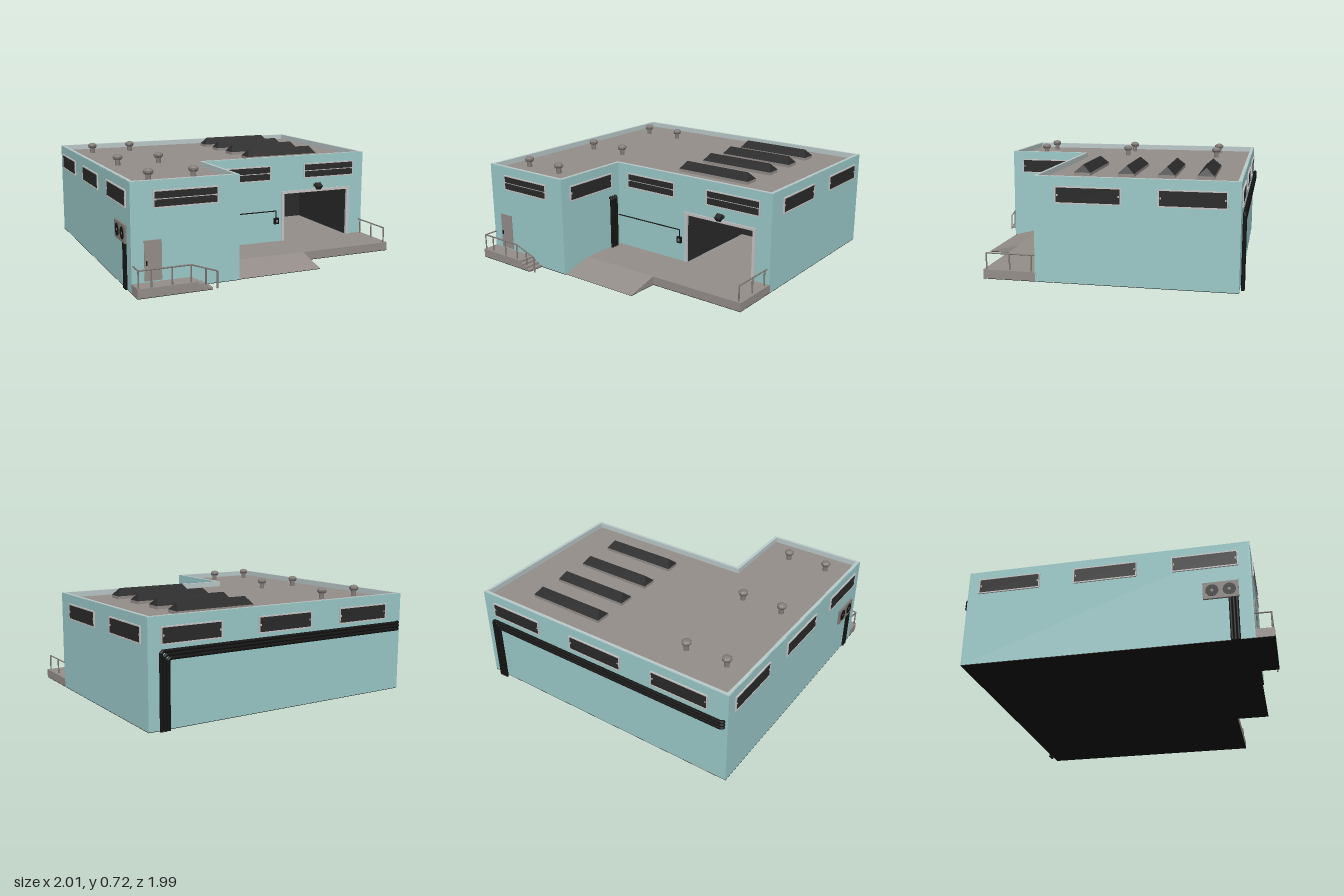
import * as THREE from 'three';

const mat = (name, color, side = THREE.FrontSide) => {
  const m = new THREE.MeshStandardMaterial({ color, side });
  m.name = name;
  return m;
};

export function createModel() {
  const teal = mat('tealWall', 0x9ccaca);
  const cap = mat('paleParapet', 0xbccaca);
  const trim = mat('lightTrim', 0xc6c4c4);
  const stone = mat('stoneGrey', 0x958e8a);
  const metal = mat('metalGrey', 0x827c78);
  const dark = mat('darkGlass', 0x2a2a2a);
  const black = mat('black', 0x141414);

  const root = new THREE.Group();
  root.name = 'warehouse';
  const X0 = -0.985, X1 = 0.997, XW = -0.28; // side walls, wing inner wall
  const ZB = -0.968, ZM = 0.306, ZW = 0.881; // back, main front, wing front
  const H = 0.675, ROOF = 0.64, BASE = 0.003, DECK = 0.06;

  const add = (parent, name, geo, m) => {
    const mesh = new THREE.Mesh(geo, m);
    mesh.name = name;
    parent.add(mesh);
    return mesh;
  };
  // Box given by its minimum and maximum corners
  const box = (parent, name, m, x0, x1, y0, y1, z0, z1) =>
    add(parent, name, new THREE.BoxGeometry(x1 - x0, y1 - y0, z1 - z0)
      .translate((x0 + x1) / 2, (y0 + y1) / 2, (z0 + z1) / 2), m);
  const poly = (pts) => new THREE.Shape(pts.map(([x, y]) => new THREE.Vector2(x, y)));
  const extrude = (shape, depth) => new THREE.ExtrudeGeometry(shape, { depth, bevelEnabled: false });
  // Round pipe through points, with ball joints
  const pipe = (parent, name, m, pts, r, sides = 8) => {
    const g = new THREE.Group();
    g.name = name;
    parent.add(g);
    const v = pts.map((p) => new THREE.Vector3(...p));
    for (let i = 1; i < v.length; i++) {
      const d = v[i].clone().sub(v[i - 1]);
      const rod = add(g, name + 'Segment', new THREE.CylinderGeometry(r, r, d.length(), sides), m);
      rod.position.copy(v[i]).add(v[i - 1]).multiplyScalar(0.5);
      rod.quaternion.setFromUnitVectors(new THREE.Vector3(0, 1, 0), d.normalize());
      if (i < v.length - 1) {
        add(g, name + 'Joint', new THREE.SphereGeometry(r, sides, 6), m).position.copy(v[i]);
      }
    }
  };

  // Facades: local x runs along the wall, local z points outward
  const addWindow = (g, u, split) => {
    const w = new THREE.Group();
    w.name = 'window';
    w.position.set(u, 0.562, 0);
    g.add(w);
    const a = 0.205, b = 0.05, f = 0.008;
    box(w, 'windowBacking', trim, -a, a, -b, b, 0, 0.002);
    for (const s of [-1, 1]) {
      box(w, 'frameRail', trim, -a, a, s * b - f / 2, s * b + f / 2, 0, 0.009);
      box(w, 'frameStile', trim, s * a - f / 2, s * a + f / 2, -b, b, 0, 0.009);
      box(w, 'hingePlate', trim, s * 0.193 - 0.004, s * 0.193 + 0.004, -0.006, 0.006, 0, 0.0075);
    }
    if (split) {
      box(w, 'upperPane', dark, -a, a, 0.003, b, 0, 0.006);
      box(w, 'lowerPane', dark, -a, a, -b, -0.003, 0, 0.006);
    } else box(w, 'pane', dark, -a, a, -b, b, 0, 0.006);
  };
  const facade = (name, pos, ry, u0, u1, windows, split, hole) => {
    const g = new THREE.Group();
    g.name = name;
    g.position.set(...pos);
    g.rotation.y = ry;
    root.add(g);
    const s = poly([[u0, BASE], [u1, BASE], [u1, H], [u0, H]]);
    if (hole) s.holes.push(new THREE.Path(hole.map(([x, y]) => new THREE.Vector2(x, y))));
    add(g, name + 'Panel', extrude(s, 0.01).translate(0, 0, -0.01), teal);
    windows.forEach((u) => addWindow(g, u, split));
    return g;
  };
  const Q = Math.PI / 2;
  const G0 = 0.338, G1 = 0.862, GT = 0.405; // garage opening
  const mainFront = facade('mainFrontWall', [0, 0, ZM], 0, XW, X1, [0.019, 0.703], true,
    [[G0, DECK], [G0, GT], [G1, GT], [G1, DECK]]);
  const wingFront = facade('wingFrontWall', [0, 0, ZW], 0, X0, XW, [-0.635], true);
  facade('rightWall', [X1, 0, 0], Q, -ZM, -ZB, [0.04, 0.682], false);
  facade('wingInnerWall', [XW, 0, 0], Q, -ZW, -ZM, [-0.597], false);
  facade('backWall', [0, 0, ZB], Math.PI, -X1, -X0, [-0.703, -0.019, 0.635], false);
  const left = facade('leftWall', [X0, 0, 0], -Q, ZB, ZW, [-0.685, -0.042, 0.597], false);

  // Roof slab and parapet ring (drawn in x, -z and laid flat)
  const outline = (d) => [[X0 + d, -ZW + d], [XW - d, -ZW + d], [XW - d, -ZM + d],
    [X1 - d, -ZM + d], [X1 - d, -ZB - d], [X0 + d, -ZB - d]];
  add(root, 'roof', extrude(poly(outline(0.008)), 0.01).rotateX(-Q).translate(0, ROOF - 0.01, 0), stone);
  const ring = poly(outline(0.004));
  ring.holes.push(new THREE.Path(outline(0.023).map(([x, y]) => new THREE.Vector2(x, y))));
  add(root, 'parapet', extrude(ring, 0.047).rotateX(-Q).translate(0, 0.63, 0), cap);

  // Underside plates
  [[X0, X1, ZB, 0.65], [X0, XW, 0.65, ZW], [XW, 0.31, 0.65, 0.874], [X0, -0.51, ZW, 0.995]]
    .forEach(([a, b, c, d]) => box(root, 'foundation', black, a, b, 0, BASE, c, d));

  // Garage: open room, floor, frame and lamp
  box(root, 'garageFloor', stone, G0 - 0.02, G1 + 0.02, BASE, DECK, -0.42, ZM - 0.01);
  box(root, 'garageSide', dark, G0 - 0.02, G0, DECK, GT + 0.02, -0.42, ZM - 0.01);
  box(root, 'garageSide', dark, G1, G1 + 0.02, DECK, GT + 0.02, -0.42, ZM - 0.01);
  box(root, 'garageCeiling', dark, G0, G1, GT, GT + 0.02, -0.42, ZM - 0.01);
  box(root, 'garageBack', dark, G0, G1, DECK, GT, -0.42, -0.4);
  box(mainFront, 'garageFrameSide', trim, 0.318, G0, DECK, 0.425, 0, 0.008);
  box(mainFront, 'garageFrameSide', trim, G1, 0.884, DECK, 0.425, 0, 0.008);
  box(mainFront, 'garageFrameTop', trim, G0, G1, GT, 0.425, 0, 0.008);
  box(mainFront, 'lampBracket', dark, 0.58, 0.64, 0.442, 0.462, 0, 0.012);
  const lamp = add(mainFront, 'garageLamp', new THREE.CylinderGeometry(0.032, 0.024, 0.036, 4, 1)
    .rotateY(Math.PI / 4).rotateX(0.5), dark);
  lamp.position.set(0.61, 0.444, 0.02);

  // Loading deck and ramp
  box(root, 'loadingDeck', stone, XW, X1, BASE, DECK, ZM - 0.01, 0.65);
  add(root, 'ramp', extrude(poly([[0.65, BASE], [0.874, BASE], [0.65, DECK]]), 0.31 - XW)
    .rotateY(-Q).translate(0.31, 0, 0), stone);

  // Entrance landing with steps
  add(root, 'entranceSteps', extrude(poly([[X0, BASE], [-0.51, BASE], [-0.51, 0.015], [-0.54, 0.015],
    [-0.54, 0.03], [-0.57, 0.03], [-0.57, 0.045], [-0.6, 0.045], [-0.6, DECK], [X0, DECK]]), 0.995 - ZW)
    .translate(0, 0, ZW), stone);

  // Railings
  const rail = (name, pts) => pipe(root, name, metal, pts, 0.005, 6);
  rail('entranceHandrail', [[-0.975, 0.168, ZW], [-0.975, 0.168, 0.982],
    [-0.645, 0.168, 0.982], [-0.475, 0.11, 0.982]]);
  [[-0.975, DECK, 0.168], [-0.895, DECK, 0.168], [-0.765, DECK, 0.168], [-0.645, DECK, 0.168],
    [-0.55, 0.03, 0.135], [-0.475, 0, 0.11]]
    .forEach(([x, y0, y1]) => rail('entrancePost', [[x, y0, 0.982], [x, y1, 0.982]]));
  rail('deckHandrail', [[0.975, 0.165, ZM], [0.975, 0.165, 0.635]]);
  [0.335, 0.48, 0.635].forEach((z) => rail('deckPost', [[0.975, DECK, z], [0.975, 0.165, z]]));

  // Entrance door
  box(wingFront, 'door', stone, -0.905, -0.795, 0.068, 0.318, 0, 0.006);
  box(wingFront, 'doorHandle', black, -0.896, -0.887, 0.165, 0.195, 0, 0.012);

  // Pipes in the inner corner, with wire and switch box
  [0.355, 0.38, 0.405].forEach((z) => pipe(root, 'cornerPipe', black,
    [[-0.265, DECK, z], [-0.265, 0.425, z], [-0.27, 0.435, z], [XW, 0.437, z]], 0.0105));
  pipe(root, 'wire', black, [[XW, 0.285, 0.311], [0.273, 0.285, 0.311], [0.273, 0.23, 0.311]], 0.004, 6);
  box(mainFront, 'switchBox', black, 0.256, 0.291, 0.19, 0.235, 0, 0.015);
  box(mainFront, 'switchPlate', metal, 0.266, 0.281, 0.203, 0.222, 0, 0.018);

  // Nested pipes along the back wall
  for (let i = 0; i < 3; i++) {
    const x = 0.873 + i * 0.024, y = 0.43 + i * 0.022, z = -0.986;
    pipe(root, 'backPipe', black, [[x, 0, z], [x, y - 0.012, z], [x - 0.012, y, z],
      [-0.945, y, z], [-0.957, y, z + 0.008], [-0.96, y, ZB]], 0.0115);
  }

  // Cooling unit with two fans and pipes on the left wall
  box(left, 'coolingUnit', metal, 0.58, 0.8, 0.288, 0.4, 0, 0.013);
  [0.637, 0.743].forEach((u) => {
    const fan = add(left, 'fanGrille', new THREE.CylinderGeometry(0.04, 0.04, 0.002, 20).rotateX(Q), black);
    fan.position.set(u, 0.344, 0.014);
    const hub = add(left, 'fanHub', new THREE.CylinderGeometry(0.01, 0.01, 0.002, 12).rotateX(Q), metal);
    hub.position.set(u, 0.344, 0.0145);
  });
  [0.745, 0.765, 0.785].forEach((u) => pipe(left, 'coolingPipe', black, [[u, 0, 0.003], [u, 0.29, 0.003]], 0.01));

  // Roof vents
  const ventProfile = [[0.018, ROOF], [0.018, 0.678], [0.026, 0.68], [0.033, 0.692], [0.033, 0.703],
    [0.022, 0.713], [0, 0.719]].map(([r, y]) => new THREE.Vector2(r, y));
  const ventGeo = new THREE.LatheGeometry(ventProfile, 10).toNonIndexed();
  ventGeo.computeVertexNormals();
  for (const x of [-0.803, -0.507]) {
    for (const z of [-0.694, 0.003, 0.677]) add(root, 'roofVent', ventGeo, metal).position.set(x, 0, z);
  }

  // Skylights: hipped dark glazing on a kerb
  const hip = new THREE.BoxGeometry(0.566, 0.05, 0.108).toNonIndexed();
  const p = hip.attributes.position;
  for (let i = 0; i < p.count; i++) {
    if (p.getY(i) > 0) p.setXYZ(i, Math.sign(p.getX(i)) * 0.25, 0.025, 0);
  }
  hip.computeVertexNormals();
  for (const z of [-0.729, -0.479, -0.217, 0.072]) {
    box(root, 'skylightKerb', stone, 0.133, 0.699, ROOF, 0.66, z - 0.054, z + 0.054);
    add(root, 'skylight', hip, dark).position.set(0.416, 0.685, z);
  }
  return root;
}
